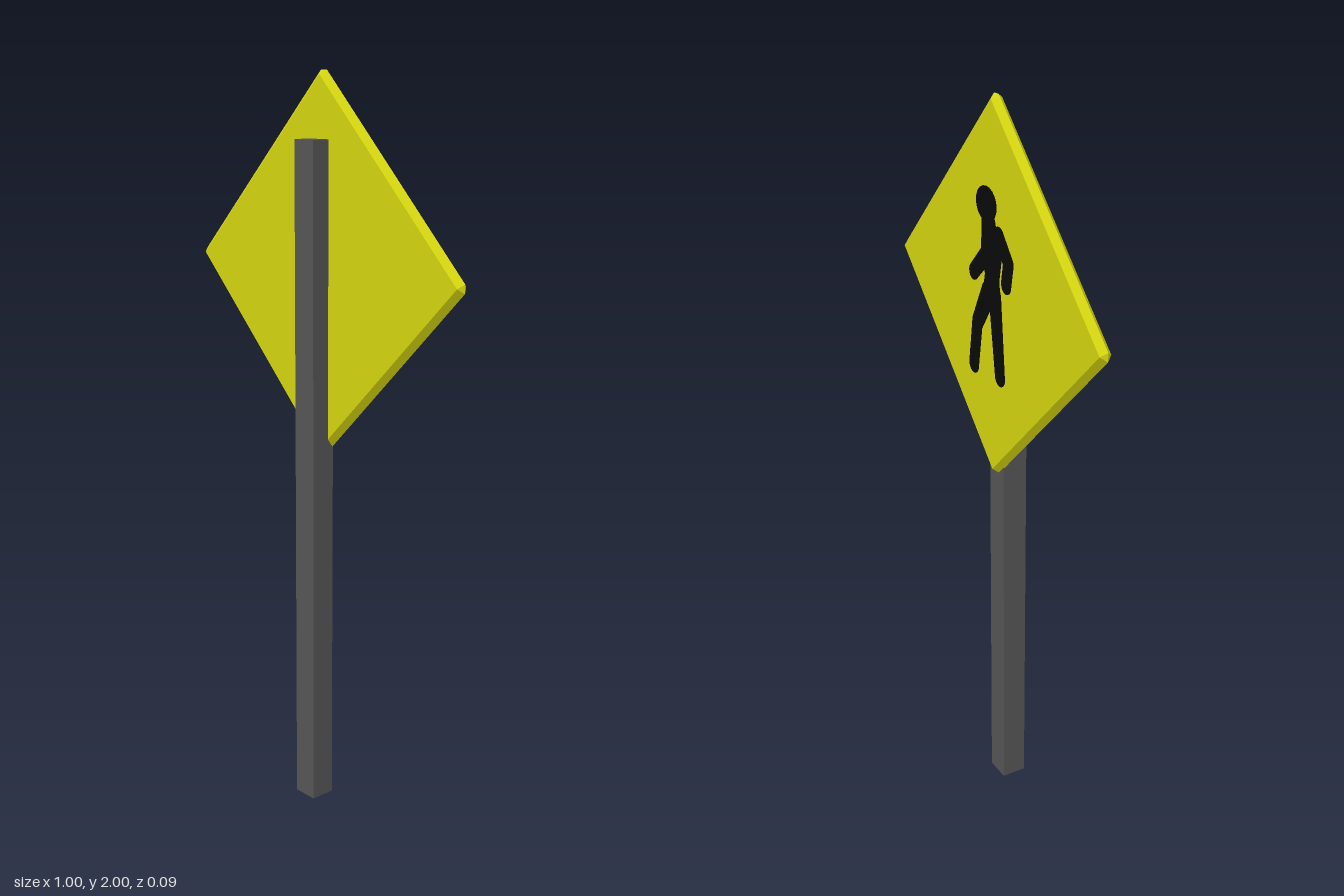
import * as THREE from 'three';
import { ConvexGeometry } from 'three/addons/geometries/ConvexGeometry.js';

const yellow = new THREE.MeshStandardMaterial({ color: 0xd4d40f });
yellow.name = 'signYellow';
const grey = new THREE.MeshStandardMaterial({ color: 0x555555 });
grey.name = 'postGrey';
const black = new THREE.MeshStandardMaterial({ color: 0x0a0a0a });
black.name = 'figureBlack';

const PANEL_Z = -0.026, HALF_THICK = 0.016, PANEL_Y = 1.5;

function addMesh(parent, name, geometry, material) {
  const mesh = new THREE.Mesh(geometry, material);
  mesh.name = name;
  parent.add(mesh);
  return mesh;
}

// Square plate whose edges are bevelled to a ridge, corners nipped off
function bevelledPlate(half, bevel) {
  const points = [], inner = half - bevel;
  for (const sx of [-1, 1]) for (const sy of [-1, 1]) {
    points.push(
      new THREE.Vector3(sx * half, sy * inner, 0),
      new THREE.Vector3(sx * inner, sy * half, 0),
      new THREE.Vector3(sx * inner, sy * inner, bevel),
      new THREE.Vector3(sx * inner, sy * inner, -bevel));
  }
  return new ConvexGeometry(points);
}

const thin = (shape) => new THREE.ExtrudeGeometry(shape, { depth: 0.003, bevelEnabled: false, curveSegments: 10 });

// Flat limb with round ends, radius ra at a and rb at b
function limb([ax, ay], [bx, by], ra, rb = ra) {
  const t = Math.atan2(by - ay, bx - ax), q = Math.PI / 2;
  const shape = new THREE.Shape();
  shape.absarc(bx, by, rb, t - q, t + q, false);
  shape.absarc(ax, ay, ra, t + q, t + 3 * q, false);
  shape.closePath();
  return thin(shape);
}

export function createModel() {
  const model = new THREE.Group();
  model.name = 'crossingSign';

  // Square post, let into the back of the panel
  const post = addMesh(model, 'post', new THREE.BoxGeometry(0.072, 1.83, 0.07), grey);
  post.position.set(0, 0.915, 0.007);

  // Diamond panel
  const panel = addMesh(model, 'panel', bevelledPlate(0.3616, HALF_THICK), yellow);
  panel.position.set(0, PANEL_Y, PANEL_Z);
  panel.rotation.z = Math.PI / 4;

  // Walking figure on the -z face
  const figure = new THREE.Group();
  figure.name = 'walkingFigure';
  figure.position.set(0, PANEL_Y, PANEL_Z - HALF_THICK + 0.001);
  figure.rotation.y = Math.PI;
  model.add(figure);

  const head = new THREE.Shape();
  head.absellipse(-0.023, 0.23, 0.05, 0.045, 0, Math.PI * 2);
  addMesh(figure, 'head', thin(head), black);

  const torso = new THREE.Shape([
    [-0.045, 0.20], [0.018, 0.20], [0.022, 0.185], [0.062, 0.16], [0.05, 0.10],
    [0.04, 0.05], [0.045, -0.02], [0.0, -0.04], [-0.045, -0.02], [-0.03, 0.05], [-0.05, 0.11], [-0.045, 0.16],
  ].map(([x, y]) => new THREE.Vector2(x, y)));
  addMesh(figure, 'torso', thin(torso), black);

  const limbs = [
    ['rearUpperArm', [0.038, 0.163], [0.085, 0.105], 0.024],
    ['rearForearm', [0.085, 0.105], [0.074, 0.047], 0.023],
    ['frontArm', [-0.02, 0.105], [-0.09, 0.038], 0.025, 0.022],
    ['frontThigh', [-0.016, 0.0], [-0.073, -0.095], 0.032, 0.025],
    ['frontShin', [-0.073, -0.095], [-0.093, -0.218], 0.025, 0.024],
    ['rearLeg', [0.018, 0.005], [0.043, -0.21], 0.03, 0.024],
  ];
  for (const [name, a, b, ra, rb] of limbs) addMesh(figure, name, limb(a, b, ra, rb), black);

  return model;
}
